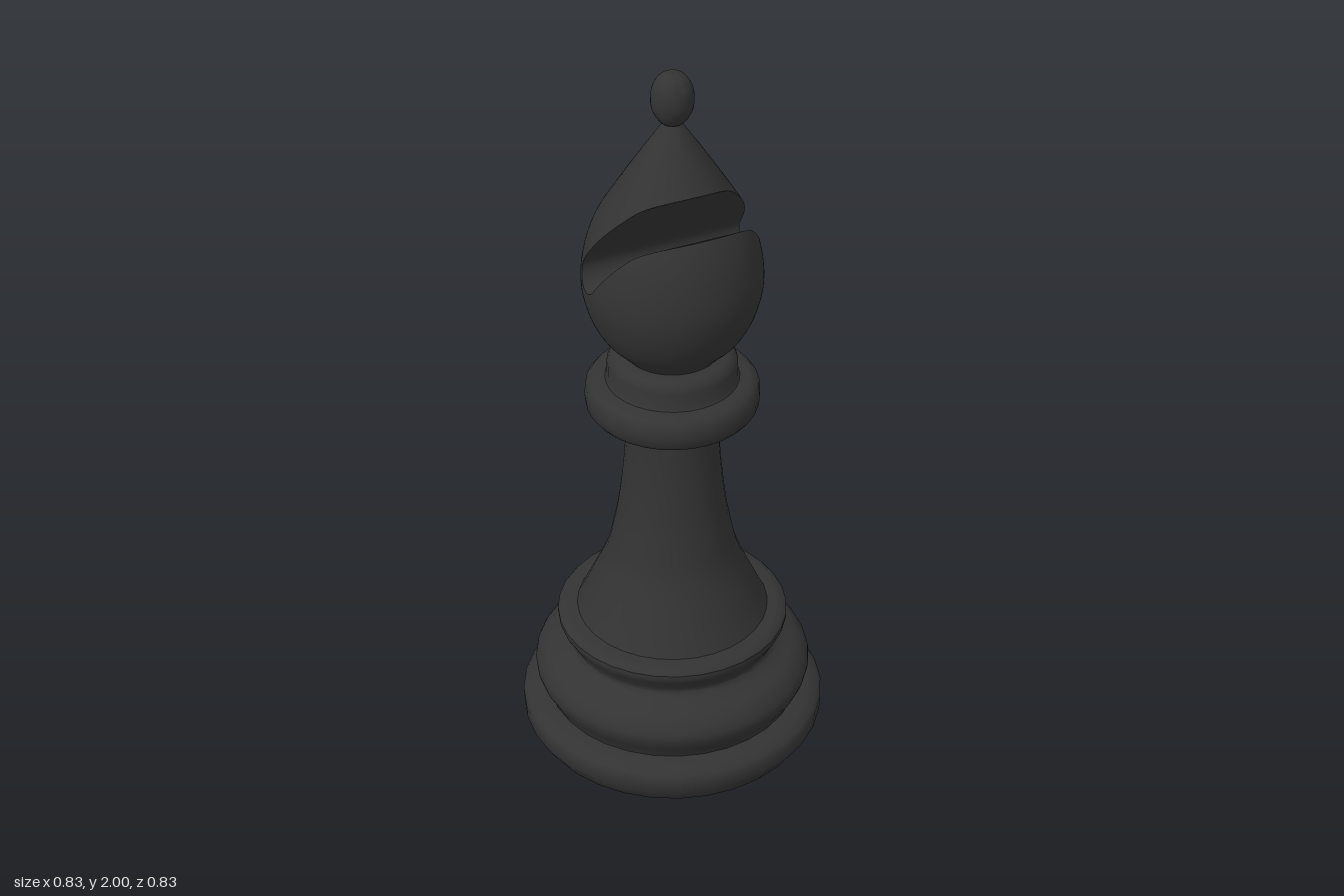
import * as THREE from 'three';
import { toCreasedNormals } from 'three/addons/utils/BufferGeometryUtils.js';

const SIDES = 32;
const vectors = (points) => points.map(([x, y]) => new THREE.Vector2(x, y));

// Head profile as radius over height
const headPoints = new THREE.SplineCurve(vectors([
  [0.12, 1.205], [0.145, 1.232], [0.185, 1.277], [0.217, 1.345], [0.232, 1.425], [0.222, 1.515],
  [0.195, 1.595], [0.148, 1.675], [0.08, 1.78], [0.02, 1.868],
])).getPoints(300);
function radiusAt(y) {
  let i = 1;
  while (i < headPoints.length - 1 && headPoints[i].y < y) i++;
  const a = headPoints[i - 1], b = headPoints[i];
  return a.x + (b.x - a.x) * (y - a.y) / (b.y - a.y);
}

// Slanted slot with a round inner end and softened lips: z of its two walls over height
const slot = { z: -0.015, y: 1.478, half: 0.047, nz: 0.809, ny: 0.588 };
const slotBottom = slot.y - slot.half;
function wallZ(y, sign, flareStart, flareSize) {
  if (y <= slotBottom) return slot.z;
  const tangentY = slot.y - sign * slot.half * slot.ny;
  if (y < tangentY) return slot.z + sign * Math.sqrt(Math.max(0, slot.half ** 2 - (y - slot.y) ** 2));
  const flare = flareSize * Math.max(0, (y - flareStart) / 0.05) ** 2;
  return slot.z + sign * slot.half * slot.nz + (y - tangentY) * slot.ny / slot.nz + flare;
}
const frontWall = (y) => wallZ(y, 1, 1.575, 0.035);
const backWall = (y) => wallZ(y, -1, 1.67, 0.03);
function tipOf(wall) {
  let y = 1.55;
  while (wall(y) < radiusAt(y)) y += 0.0005;
  return y;
}

// Heights from a to b, packed closely towards both ends
const heights = (a, b, n) =>
  Array.from({ length: n + 1 }, (_, i) => a + (b - a) * (1 - Math.cos(Math.PI * i / n)) / 2);

// Grid surface; point(row, t) gives position and, optionally, normal
function gridGeometry(rows, columns, point) {
  const positions = [], normals = [], index = [];
  rows.forEach((row, i) => {
    for (let j = 0; j <= columns; j++) {
      const { p, n } = point(row, (j / columns) * 2 - 1);
      positions.push(...p);
      if (n) normals.push(...new THREE.Vector3(...n).normalize().toArray());
      if (i && j) {
        const d = i * (columns + 1) + j, c = d - 1, b = d - columns - 1, a = b - 1;
        index.push(a, b, d, a, d, c);
      }
    }
  });
  const geometry = new THREE.BufferGeometry();
  geometry.setAttribute('position', new THREE.Float32BufferAttribute(positions, 3));
  geometry.setIndex(index);
  if (normals.length) geometry.setAttribute('normal', new THREE.Float32BufferAttribute(normals, 3));
  else geometry.computeVertexNormals();
  return geometry;
}

// Half of the turned head, ending at the slot wall; side is 1 in front, -1 behind
function headSkin(side, wall, rows) {
  return gridGeometry(rows, 48, (y, t) => {
    const r = radiusAt(y);
    const phi = t * Math.acos(THREE.MathUtils.clamp(side * wall(y) / r, -1, 1));
    const x = side * Math.sin(phi), z = side * Math.cos(phi);
    const slope = (radiusAt(y + 0.004) - radiusAt(y - 0.004)) / 0.008;
    return { p: [x * r, y, z * r], n: [x, -slope, z] };
  });
}

export function createModel() {
  const model = new THREE.Group();
  const material = new THREE.MeshStandardMaterial({ color: 0x333333 });
  const add = (name, geometry) => {
    const mesh = new THREE.Mesh(geometry, material);
    mesh.name = name;
    model.add(mesh);
  };
  const turned = (name, points, smooth = 0) => {
    const profile = vectors(points);
    const outline = smooth ? new THREE.SplineCurve(profile).getPoints(smooth) : profile;
    add(name, toCreasedNormals(new THREE.LatheGeometry(outline, SIDES), 0.75));
  };

  // Base
  turned('foot', [[0, 0], [0.375, 0], [0.39, 0.012], [0.415, 0.052], [0.417, 0.095], [0.408, 0.108],
    [0.385, 0.12], [0.35, 0.126], [0.33, 0.126]]);
  turned('baseRing', [[0.345, 0.12], [0.355, 0.145], [0.375, 0.185], [0.377, 0.22], [0.35, 0.257],
    [0.31, 0.278], [0.286, 0.298], [0.295, 0.325], [0.312, 0.355], [0.314, 0.375]], 30);
  turned('baseShoulder', [[0.314, 0.375], [0.305, 0.386], [0.285, 0.39], [0.25, 0.391]]);

  // Stem
  turned('stem', [[0.262, 0.388], [0.23, 0.455], [0.18, 0.57], [0.158, 0.66], [0.142, 0.75],
    [0.127, 0.89], [0.12, 1.04]], 30);

  // Collar
  turned('collar', [[0.11, 1.034], [0.2, 1.034], [0.215, 1.04], [0.226, 1.055], [0.229, 1.08],
    [0.226, 1.108], [0.215, 1.122], [0.2, 1.128], [0.16, 1.13]]);
  turned('upperCollar', [[0.176, 1.128], [0.17, 1.138], [0.17, 1.178], [0.164, 1.193],
    [0.152, 1.203], [0.132, 1.208], [0.11, 1.208]]);

  // Slotted head
  const frontTip = tipOf(frontWall), backTip = tipOf(backWall);
  const lower = heights(1.205, slotBottom, 20);
  const frontRows = heights(slotBottom, frontTip, 32);
  const backRows = heights(slotBottom, backTip, 40);
  add('headFront', headSkin(1, frontWall, [...lower, ...frontRows.slice(1)]));
  add('headBack', headSkin(-1, (y) => (y > backTip ? 1 : backWall(y)),
    [...lower, ...backRows.slice(1), ...heights(backTip, 1.868, 16).slice(1)]));

  // Slot walls, from the front lip round the inner end to the upper lip
  const path = [
    ...frontRows.slice().reverse().map((y) => [y, frontWall(y)]),
    ...backRows.slice(1).map((y) => [y, backWall(y)]),
  ];
  add('slotWalls', gridGeometry(path, 8, ([y, z], t) => (
    { p: [t * Math.sqrt(Math.max(0, radiusAt(y) ** 2 - z * z)), y, z] })));

  // Finial
  turned('finial', [[0.02, 1.862], [0.034, 1.872], [0.05, 1.9], [0.054, 1.93], [0.05, 1.96],
    [0.036, 1.985], [0.018, 1.997], [0, 2]], 24);

  return model;
}
